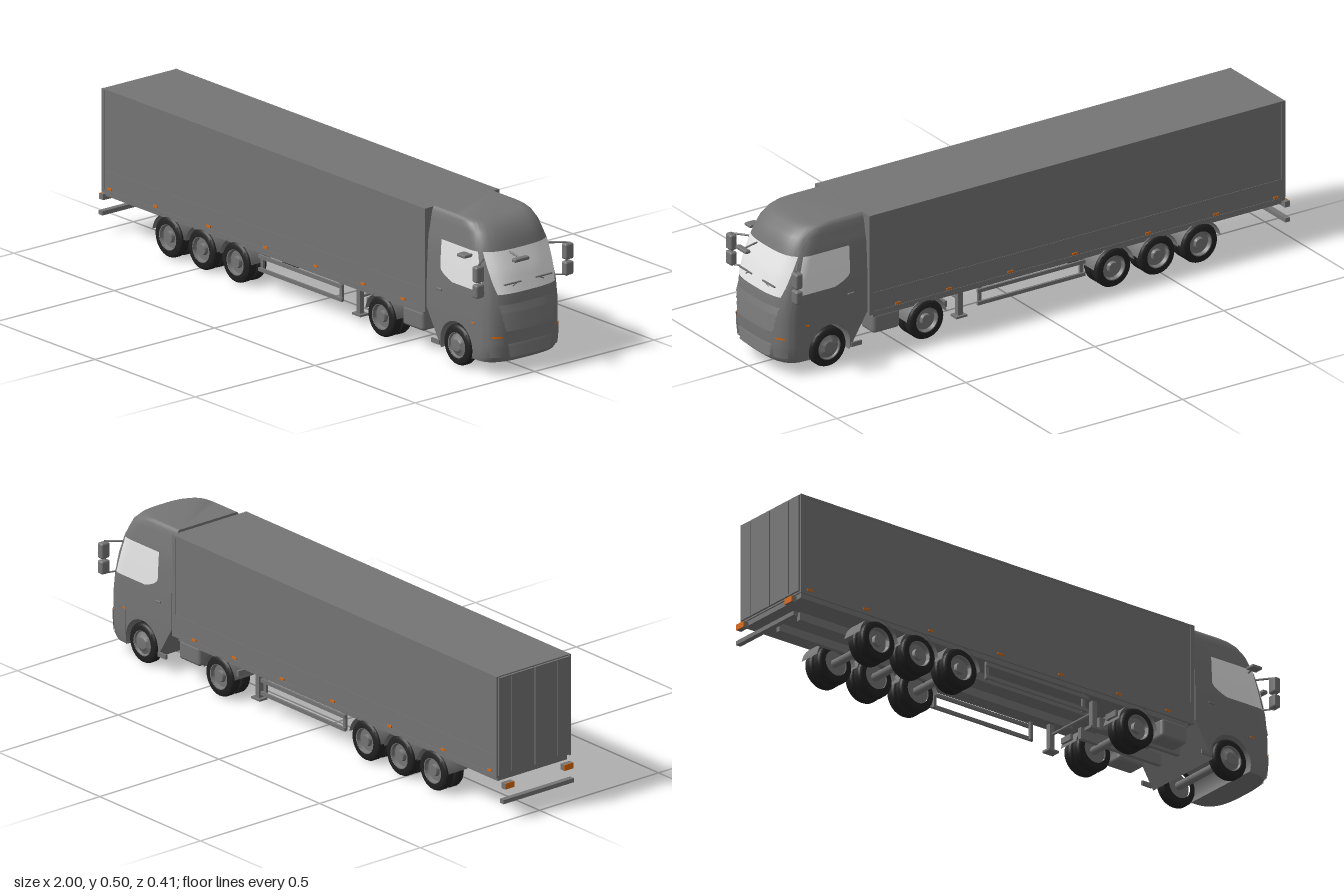
import * as THREE from 'three';
import { toCreasedNormals } from 'three/addons/utils/BufferGeometryUtils.js';
import { RoundedBoxGeometry } from 'three/addons/geometries/RoundedBoxGeometry.js';

const mat = (name, color, side = THREE.FrontSide) => {
  const m = new THREE.MeshStandardMaterial({ color, side });
  m.name = name;
  return m;
};

// Cab outline by height: y, front x, half width
const LEVELS = [
  [0.043, 0.966, 0.150], [0.06, 0.978, 0.153], [0.10, 0.982, 0.154], [0.16, 0.982, 0.154],
  [0.21, 0.981, 0.154], [0.27, 0.974, 0.153], [0.34, 0.955, 0.150], [0.405, 0.932, 0.146],
  [0.43, 0.922, 0.140], [0.46, 0.905, 0.135], [0.483, 0.878, 0.130], [0.492, 0.855, 0.126], [0.496, 0.835, 0.121],
];
const CORNER = 0.09;
const at = (y) => {
  let i = 1;
  while (i < LEVELS.length - 1 && LEVELS[i][0] < y) i++;
  const a = LEVELS[i - 1], b = LEVELS[i], t = (y - a[0]) / (b[0] - a[0]);
  return { front: a[1] + (b[1] - a[1]) * t, half: a[2] + (b[2] - a[2]) * t };
};
// Surface of the cab: x on the front for a given z, and z on the side for a given x
const frontX = (y, z) => {
  const { front, half } = at(y), s = Math.min(1, Math.abs(z) / half);
  return front - CORNER * (1 - Math.cbrt(1 - s ** 3));
};
const sideZ = (y, x) => {
  const { front, half } = at(y), t = Math.max(0, (x - front + CORNER) / CORNER);
  return half * Math.cbrt(Math.max(0, 1 - t ** 3));
};

// Stack of horizontal rings with rounded front corners
function loft(levels, rear) {
  const pos = [], idx = [], seg = 32, n = seg + 3;
  for (const [y, front, half] of levels) {
    pos.push(rear, y, -half);
    for (let i = 0; i <= seg; i++) {
      const a = -Math.PI / 2 + (Math.PI * i) / seg, s = Math.sin(a);
      pos.push(front - CORNER + CORNER * Math.max(0, Math.cos(a)) ** (2 / 3), y, half * Math.sign(s) * Math.abs(s) ** (2 / 3));
    }
    pos.push(rear, y, half);
  }
  for (let j = 0; j < levels.length - 1; j++)
    for (let i = 0; i < n; i++) {
      const a = j * n + i, b = j * n + ((i + 1) % n);
      idx.push(a, a + n, b, b, a + n, b + n);
    }
  const top = (levels.length - 1) * n;
  for (let i = 1; i < n - 1; i++) idx.push(top, top + i + 1, top + i, 0, i, i + 1);
  const g = new THREE.BufferGeometry();
  g.setAttribute('position', new THREE.Float32BufferAttribute(pos, 3));
  g.setIndex(idx);
  return toCreasedNormals(g, 0.6);
}

// Thin panel following a surface; fn(u, v) gives a point
function patch(fn, nu = 16, nv = 8) {
  const g = new THREE.PlaneGeometry(1, 1, nu, nv), p = g.attributes.position;
  for (let i = 0; i < p.count; i++) p.setXYZ(i, ...fn(p.getX(i) + 0.5, p.getY(i) + 0.5));
  g.computeVertexNormals();
  return g;
}
const mix = THREE.MathUtils.lerp;

export function createModel() {
  const body = mat('bodyGrey', 0x757575, THREE.DoubleSide);
  const glass = mat('glass', 0xf0f0f0, THREE.DoubleSide);
  const rubber = mat('tyreBlack', 0x222222);
  const orange = mat('lampOrange', 0xd9690f, THREE.DoubleSide);
  const model = new THREE.Group();
  const add = (name, geo, m = body) => {
    const mesh = new THREE.Mesh(geo, m);
    mesh.name = name;
    model.add(mesh);
    return mesh;
  };
  // Box given by its limits
  const box = (name, x0, x1, y0, y1, z0, z1, m = body) =>
    add(name, new THREE.BoxGeometry(x1 - x0, y1 - y0, Math.abs(z1 - z0)).translate((x0 + x1) / 2, (y0 + y1) / 2, (z0 + z1) / 2), m);
  const rounded = (name, w, h, d, x, y, z, r) => add(name, new RoundedBoxGeometry(w, h, d, 3, r).translate(x, y, z));
  const rod = (name, a, b, r, m = body) =>
    add(name, new THREE.TubeGeometry(new THREE.LineCurve3(new THREE.Vector3(...a), new THREE.Vector3(...b)), 1, r, 8), m);
  const facePanel = (name, y0, y1, z0, z1, m = body, lift0 = 0.003, lift1 = lift0) =>
    add(name, patch((u, v) => {
      const y = mix(y0, y1, v), z = mix(z0(v), z1(v), u);
      return [frontX(y, z) + mix(lift0, lift1, v), y, z];
    }), m);

  // Cab shell, bumper and lower sides with wheel arches
  add('cabShell', loft(LEVELS.slice(3), 0.645));
  add('bumper', loft(LEVELS.slice(0, 4), 0.872));
  const skirt = new THREE.Shape(), dip = Math.asin(0.025 / 0.08);
  skirt.moveTo(0.645, 0.043);
  skirt.absarc(0.792, 0.068, 0.08, Math.PI + dip, -dip, true);
  skirt.lineTo(0.872, 0.043);
  skirt.lineTo(0.872, 0.16);
  skirt.lineTo(0.645, 0.16);
  add('cabLowerSides', new THREE.ExtrudeGeometry(skirt, { depth: 0.306, bevelEnabled: false, curveSegments: 24 }).translate(0, 0, -0.153));

  // Windscreen, grille slats and bumper slats
  const screen = (v) => 0.133 - 0.014 * (1 - v) ** 3;
  facePanel('windscreen', 0.272, 0.406, (v) => -screen(v), screen, glass);
  const slats = (name, n, y0, y1, w0, w1) => {
    for (let i = 0; i < n; i++) {
      const a = mix(y0, y1, i / n), b = mix(y0, y1, (i + 1) / n), w = (v) => mix(w0, w1, (i + v) / n);
      facePanel(name, a, b, (v) => -w(v), w, body, 0.007, 0.002);
    }
  };
  slats('grilleSlat', 4, 0.15, 0.237, 0.1, 0.12);
  slats('bumperSlat', 3, 0.06, 0.106, 0.084, 0.092);

  for (const s of [1, -1]) {
    // Headlights and turn signals
    facePanel('headlight', 0.062, 0.128, (v) => s * mix(0.1, 0.108, v), (v) => s * mix(0.142, 0.146, v), body, 0.004);
    facePanel('turnSignal', 0.128, 0.134, () => s * 0.11, () => s * 0.14, orange, 0.005);
    // Side window with a cut lower rear corner
    add('sideWindow', patch((u, v) => {
      const y = mix(0.277, 0.406, v), x = mix(0.713 + 0.06 * Math.max(0, 1 - v / 0.3) ** 2, mix(0.922, 0.887, v), u);
      return [x, y, s * (sideZ(y, x) + 0.0025)];
    }, 20, 20), glass);
    rounded('doorHandle', 0.025, 0.007, 0.006, 0.71, 0.238, s * 0.155, 0.002);
    box('sideStep', 0.67, 0.71, 0.05, 0.065, s * 0.15, s * 0.157);
    box('sideMarker', 0.87, 0.885, 0.163, 0.168, s * 0.152, s * 0.156, orange);
    // Mirrors on arms
    rounded('mainMirror', 0.026, 0.054, 0.034, 0.942, 0.354, s * 0.187, 0.007);
    rounded('wideMirror', 0.026, 0.046, 0.034, 0.942, 0.297, s * 0.187, 0.007);
    rod('mirrorArm', [0.9, 0.383, s * 0.13], [0.94, 0.383, s * 0.182], 0.0035);
    rod('mirrorArm', [0.92, 0.278, s * 0.14], [0.94, 0.274, s * 0.182], 0.003);
    rod('mirrorStem', [0.942, 0.27, s * 0.182], [0.942, 0.385, s * 0.182], 0.003);
    // Wipers
    const wx = frontX(0.305, 0.065) + 0.006;
    box('wiperBlade', wx - 0.003, wx + 0.003, 0.302, 0.306, s * 0.03, s * 0.1);
    rod('wiperArm', [wx, 0.294, s * 0.065], [wx, 0.306, s * 0.04], 0.002);
  }
  rounded('kerbMirror', 0.04, 0.011, 0.034, 0.865, 0.397, 0.18, 0.004);
  rod('kerbMirrorArm', [0.865, 0.39, 0.14], [0.865, 0.397, 0.17], 0.003);
  rounded('frontMirror', 0.02, 0.012, 0.06, 0.99, 0.388, 0.05, 0.004);
  rod('frontMirrorArm', [0.93, 0.4, 0.05], [0.985, 0.39, 0.05], 0.003);

  // Trailer body with posts, rails and rear doors
  box('trailerBox', -0.97, 0.638, 0.145, 0.491, -0.153, 0.153);
  box('trailerFloor', -0.965, 0.62, 0.128, 0.145, -0.146, 0.146);
  for (const s of [1, -1]) {
    box('lowerSideBoard', -0.972, 0.639, 0.145, 0.218, s * 0.15, s * 0.1545);
    box('bottomRail', -0.972, 0.639, 0.142, 0.153, s * 0.15, s * 0.156);
    box('topRail', -0.972, 0.639, 0.484, 0.491, s * 0.15, s * 0.155);
    for (const x of [-0.972, 0.625]) box('cornerPost', x, x + 0.014, 0.145, 0.491, s * 0.148, s * 0.156);
    box('rearDoor', -0.977, -0.969, 0.15, 0.487, s * 0.002, s * 0.15);
    box('doorLockRod', -0.98, -0.976, 0.155, 0.482, s * 0.095, s * 0.099);
    for (const x of [-0.935, -0.705, -0.44, -0.157, 0.093, 0.33, 0.53])
      box('markerLamp', x - 0.01, x + 0.01, 0.156, 0.163, s * 0.152, s * 0.1575, orange);
    // Side guard
    for (const y of [0.066, 0.11]) box('guardRail', -0.205, 0.212, y, y + 0.012, s * 0.138, s * 0.146);
    for (const x of [-0.195, 0.2]) box('guardPost', x - 0.006, x + 0.006, 0.066, 0.13, s * 0.13, s * 0.139);
    // Landing leg
    box('landingLeg', 0.252, 0.27, 0.034, 0.13, s * 0.1, s * 0.118);
    box('landingFoot', 0.24, 0.282, 0.028, 0.035, s * 0.092, s * 0.126);
    // Frame rails, tank and lamps
    box('trailerBeam', -0.9, 0.3, 0.1, 0.13, s * 0.045, s * 0.06);
    box('tractorBeam', 0.33, 0.66, 0.075, 0.115, s * 0.04, s * 0.056);
    rounded('sideTank', 0.105, 0.068, 0.075, 0.566, 0.102, s * 0.11, 0.012);
    box('tractorTailLamp', 0.328, 0.338, 0.09, 0.11, s * 0.09, s * 0.14);
    box('rearLamp', -0.997, -0.98, 0.108, 0.128, s * 0.105, s * 0.143);
    box('rearLampLens', -1, -0.997, 0.108, 0.128, s * 0.105, s * 0.143, orange);
  }
  rod('landingCrossbar', [0.261, 0.09, -0.1], [0.261, 0.09, 0.1], 0.005);
  box('rearUnderrunBar', -0.997, -0.978, 0.058, 0.072, -0.148, 0.148);
  box('couplingPlate', 0.36, 0.5, 0.113, 0.129, -0.06, 0.06);

  // Wheels, axles and mudguards
  const W = 0.039, h = W / 2, v2 = (a) => a.map(([x, y]) => new THREE.Vector2(x, y));
  const spin = (pts) => toCreasedNormals(new THREE.LatheGeometry(v2(pts), 32), 0.6);
  const tyre = spin([[0.043, -h], [0.058, -h], [0.065, -h + 0.004], [0.068, -h + 0.01], [0.068, h - 0.01], [0.065, h - 0.004], [0.058, h], [0.043, h]]);
  const dished = spin([[0, -h + 0.01], [0.045, -h + 0.01], [0.045, h - 0.002], [0.041, h - 0.002], [0.037, h - 0.014], [0.02, h - 0.014], [0.017, h - 0.003], [0, h - 0.003]]);
  const domed = spin([[0, -h + 0.01], [0.045, -h + 0.01], [0.045, h - 0.002], [0.041, h - 0.002], [0.038, h - 0.008], [0.026, h - 0.003], [0.02, h + 0.002], [0, h + 0.003]]);
  const wheel = (x, z, s, rim) => {
    for (const [name, g, m] of [['tyre', tyre, rubber], ['rim', rim, body]]) {
      const mesh = add(name, g, m);
      mesh.rotation.x = (s * Math.PI) / 2;
      mesh.position.set(x, 0.068, z);
    }
  };
  for (const x of [-0.648, -0.483, -0.312, 0.413, 0.792]) {
    const steer = x > 0.7;
    rod('axle', [x, 0.068, -0.12], [x, 0.068, 0.12], 0.014);
    for (const s of [1, -1]) {
      wheel(x, s * 0.1325, s, steer ? domed : dished);
      if (steer) continue;
      wheel(x, s * 0.0905, s, dished);
      add('mudguard', new THREE.CylinderGeometry(0.079, 0.079, 0.08, 24, 1, true, Math.PI * 0.55, Math.PI * 0.9)
        .rotateX(Math.PI / 2).translate(x, 0.066, s * 0.11));
    }
  }
  return model;
}
